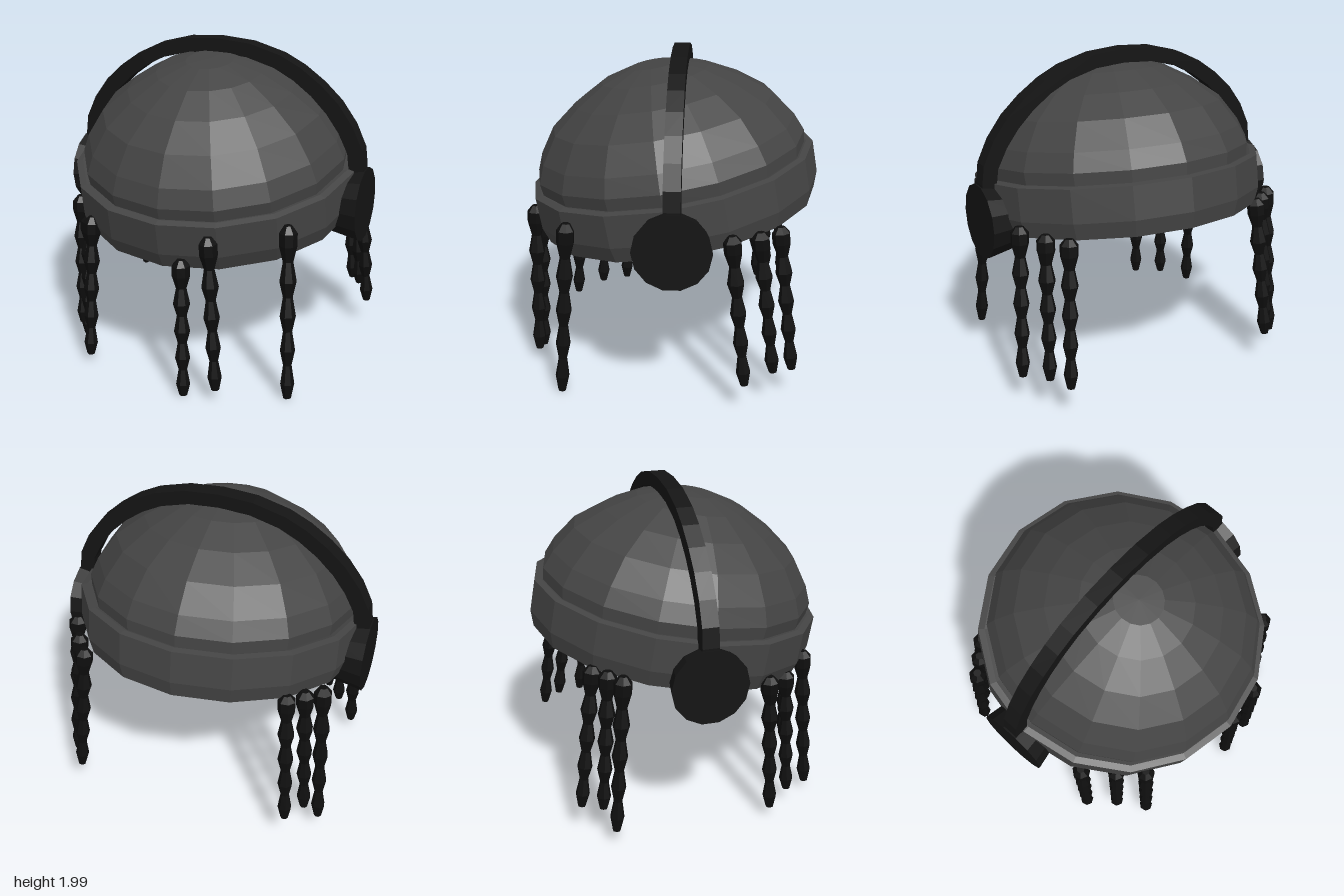
import * as THREE from 'three';

const mat = (color, extra = {}) =>
  new THREE.MeshStandardMaterial({ color, flatShading: true, ...extra });
const knit = mat(0x444444);
const plastic = mat(0x141414);
const hair = mat(0x0e0e0e, { side: THREE.DoubleSide });

const points = (list) => list.map(([x, y]) => new THREE.Vector2(x, y));

function add(parent, name, geometry, material) {
  const mesh = new THREE.Mesh(geometry, material);
  mesh.name = name;
  parent.add(mesh);
  return mesh;
}

// Knotted lock of hair hanging from top to tip
function makeLock(top, tip) {
  const a = new THREE.Vector3(...top);
  const b = new THREE.Vector3(...tip);
  const length = a.distanceTo(b);
  const knots = 5;
  const profile = [[0, 0], [0.024, 0]];
  for (let i = 0; i < knots; i++) {
    const y = (i + 0.45) / knots;
    const taper = 0.75 + 0.25 * y;
    profile.push([0.056 * taper, y * length]);
    if (i < knots - 1) profile.push([0.034 * taper, (i + 1) / knots * length]);
  }
  profile.push([0.055, length * 0.96], [0.025, length], [0, length]);
  const geometry = new THREE.LatheGeometry(points(profile), 7);
  const mesh = new THREE.Mesh(geometry, hair);
  mesh.position.copy(b);
  mesh.quaternion.setFromUnitVectors(new THREE.Vector3(0, 1, 0), a.sub(b).normalize());
  return mesh;
}

export function createModel() {
  const model = new THREE.Group();
  model.name = 'capWithHeadphones';

  // Cap, lower at the front
  const cap = new THREE.Group();
  cap.name = 'cap';
  cap.position.set(0, 0.97, -0.05);
  cap.rotation.x = THREE.MathUtils.degToRad(10);
  model.add(cap);

  const brim = [[0, 0], [0.868, 0], [0.9, 0.1], [0.9, 0.3], [0.86, 0.31], [0.82, 0.3]];
  add(cap, 'foldedBrim', new THREE.LatheGeometry(points(brim), 16), knit).position.z = 0.02;

  const dome = [[0.845, 0.28], [0.856, 0.38], [0.81, 0.49], [0.7, 0.65],
    [0.53, 0.78], [0.34, 0.885], [0.15, 0.943], [0, 0.947]];
  const crown = add(cap, 'crown', new THREE.LatheGeometry(points(dome), 16), knit);
  crown.position.z = 0.02;
  crown.scale.x = 0.98;

  // Headphones: arched band and two tapered ear cups
  const headphones = new THREE.Group();
  headphones.name = 'headphones';
  headphones.position.z = -0.035;
  model.add(headphones);

  const outer = [[0.955, 1.02], [0.955, 1.28], [0.94, 1.4], [0.875, 1.54], [0.78, 1.67],
    [0.667, 1.775], [0.54, 1.865], [0.41, 1.93], [0.21, 1.985], [0, 2]];
  const inner = [[0.865, 1.02], [0.865, 1.26], [0.85, 1.37], [0.79, 1.49], [0.71, 1.6],
    [0.61, 1.7], [0.495, 1.785], [0.37, 1.85], [0.19, 1.9], [0, 1.912]];
  const arch = (half) => [...half, ...half.slice(0, -1).reverse().map(([x, y]) => [-x, y])];
  const bandShape = new THREE.Shape(points([...arch(outer), ...arch(inner).reverse()]));
  const bandGeometry = new THREE.ExtrudeGeometry(bandShape, { depth: 0.1, bevelEnabled: false });
  bandGeometry.translate(0, 0, -0.05);
  add(headphones, 'headband', bandGeometry, plastic);

  for (const side of [1, -1]) {
    const cup = add(headphones, side > 0 ? 'leftEarCup' : 'rightEarCup',
      new THREE.CylinderGeometry(0.232, 0.197, 0.185, 14), plastic);
    cup.rotation.z = -side * Math.PI / 2;
    cup.position.set(side * 0.8725, 1.043, 0);
  }

  // Hair locks: root and tip of each
  const locks = [
    [[0.13, 0.89, 0.85], [0.145, 0.01, 0.87]],
    [[0.30, 1.06, 0.85], [0.35, 0.09, 0.86]],
    [[0.69, 1.10, 0.60], [0.73, 0.01, 0.655]],
    [[-0.54, 0.99, 0.69], [-0.565, 0.065, 0.74]],
    [[-0.65, 0.92, 0.54], [-0.68, 0.105, 0.57]],
    [[-0.80, 0.98, 0.38], [-0.81, 0.08, 0.41]],
    [[0.85, 1.11, -0.37], [0.90, 0.185, -0.46]],
    [[0.76, 1.10, -0.53], [0.80, 0.22, -0.63]],
    [[0.67, 1.10, -0.65], [0.72, 0.20, -0.745]],
    [[-0.80, 1.10, -0.50], [-0.84, 0.105, -0.57]],
    [[-0.71, 1.10, -0.57], [-0.76, 0.22, -0.63]],
    [[-0.62, 1.10, -0.64], [-0.67, 0.20, -0.745]],
  ];
  const locksGroup = new THREE.Group();
  locksGroup.name = 'hairLocks';
  locks.forEach(([top, tip], i) => {
    const lock = makeLock(top, tip);
    lock.name = `hairLock${i + 1}`;
    locksGroup.add(lock);
  });
  model.add(locksGroup);

  return model;
}
